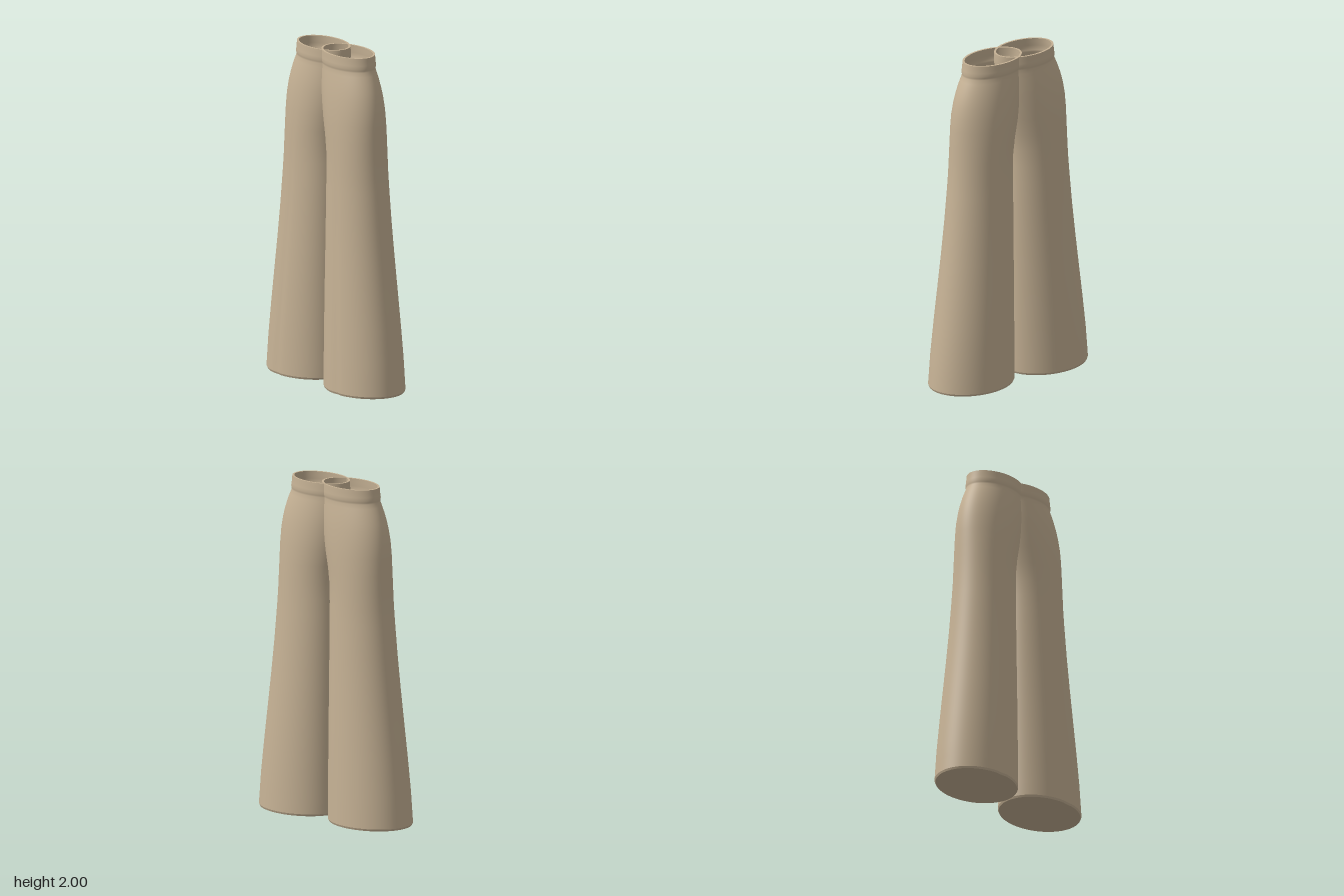
import * as THREE from 'three';

const SEGMENTS = 72;
const WALL = 0.012;

// Leg cross-sections: height, outer-side x, inner-side x, half depth
const SECTIONS = [
  [0.012, 0.54, 0, 0.218], [0.1, 0.533, 0, 0.215], [0.2, 0.525, 0, 0.212],
  [0.4, 0.502, 0, 0.204], [0.6, 0.477, 0, 0.195], [0.8, 0.453, 0, 0.185],
  [1.0, 0.431, 0, 0.176], [1.2, 0.413, 0, 0.168], [1.3, 0.405, 0, 0.165],
  [1.4, 0.4, -0.002, 0.163], [1.5, 0.396, -0.016, 0.162], [1.6, 0.393, -0.038, 0.16],
  [1.68, 0.387, -0.053, 0.156], [1.75, 0.375, -0.064, 0.15], [1.8, 0.362, -0.07, 0.144],
  [1.85, 0.345, -0.073, 0.137], [1.89, 0.328, -0.075, 0.13], [1.915, 0.317, -0.076, 0.126],
  // waistband
  [1.925, 0.317, -0.077, 0.127], [1.937, 0.319, -0.08, 0.131], [1.955, 0.316, -0.08, 0.129],
  [1.98, 0.313, -0.08, 0.128], [2.0, 0.311, -0.079, 0.127],
];

// One ring of points; a shallow pressed fold runs down the front
function ring([y, outer, inner, depth], side, inset = 0) {
  const cx = side * (outer + inner) / 2;
  const rx = (outer - inner) / 2 - inset;
  const rz = depth - inset;
  const points = [];
  for (let i = 0; i < SEGMENTS; i++) {
    const a = (i / SEGMENTS) * Math.PI * 2;
    const offset = Math.cos(a) * side - 0.05;
    const fold = Math.sin(a) > 0 ? 0.006 * Math.exp(-((offset / 0.07) ** 2)) * Math.max(0, 1 - y / 1.85) : 0;
    points.push(cx + rx * Math.cos(a), y, (rz - fold) * Math.sin(a));
  }
  return points;
}

// Skin joining successive rings, facing outward when rings rise
function loft(rings) {
  const index = [];
  for (let r = 0; r < rings.length - 1; r++) {
    for (let i = 0; i < SEGMENTS; i++) {
      const j = (i + 1) % SEGMENTS;
      const a = r * SEGMENTS + i, b = r * SEGMENTS + j;
      const c = a + SEGMENTS, d = b + SEGMENTS;
      index.push(a, c, b, b, c, d);
    }
  }
  return build(rings.flat(), index);
}

// Flat disc filling a ring
function disc(points, center, up) {
  const index = [];
  for (let i = 0; i < SEGMENTS; i++) {
    const j = (i + 1) % SEGMENTS;
    index.push(SEGMENTS, up ? j : i, up ? i : j);
  }
  return build([...points, ...center], index);
}

function build(positions, index) {
  const geometry = new THREE.BufferGeometry();
  geometry.setAttribute('position', new THREE.Float32BufferAttribute(positions, 3));
  geometry.setIndex(index);
  geometry.computeVertexNormals();
  return geometry;
}

export function createModel() {
  const model = new THREE.Group();
  model.name = 'trousers';
  const fabric = new THREE.MeshStandardMaterial({ color: 0xc6b295 });
  fabric.name = 'beige fabric';

  for (const side of [1, -1]) {
    const leg = new THREE.Group();
    leg.name = side > 0 ? 'leftLeg' : 'rightLeg';
    const add = (name, geometry) => {
      const mesh = new THREE.Mesh(geometry, fabric);
      mesh.name = name;
      leg.add(mesh);
    };
    const bottom = SECTIONS[0];
    const top = SECTIONS[SECTIONS.length - 1];
    const hem = [0, ...bottom.slice(1)];
    const cx = side * (bottom[1] + bottom[2]) / 2;

    // Outer cloth and inside lining
    add('outerCloth', loft(SECTIONS.map((s) => ring(s, side))));
    add('lining', loft(SECTIONS.map((s) => ring(s, side, WALL)).reverse()));

    // Waist rim and turned-in hem
    add('waistRim', loft([ring(top, side), ring(top, side, WALL)]));
    add('hem', loft([ring(hem, side, 0.005), ring(bottom, side)]));

    // Closed leg bottom, seen from below and from inside
    add('legBottom', disc(ring(hem, side, 0.005), [cx, 0, 0], false));
    add('innerFloor', disc(ring(bottom, side, WALL), [cx, bottom[0], 0], true));
    model.add(leg);
  }
  return model;
}
